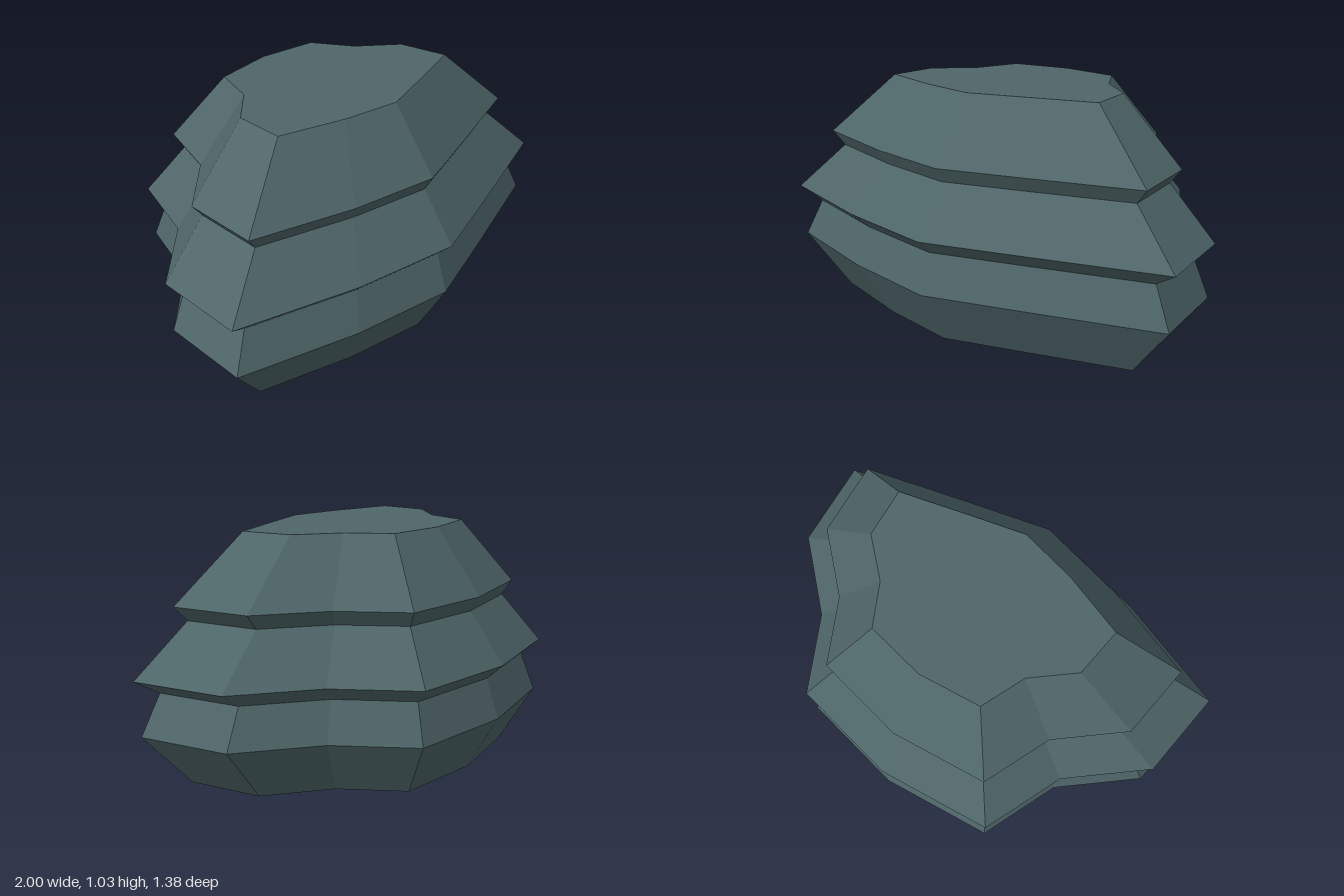
import * as THREE from 'three';

// Irregular twelve-sided outline [x, z], from the front point round through +x
const OUTLINE = [
  [-0.01, 0.685], [0.43, 0.57], [1, 0.415], [0.955, 0], [0.66, -0.27], [0.48, -0.605],
  [-0.01, -0.69], [-0.515, -0.63], [-0.655, -0.27], [-0.96, 0], [-1, 0.41], [-0.48, 0.585],
];

// Each tier is a stack of scaled outlines: [height, scale]
const TIERS = {
  lowerTier: [[0, 0.785], [0.238, 0.98], [0.408, 0.9]],
  middleTier: [[0.408, 0.9], [0.472, 1], [0.687, 0.778]],
  upperTier: [[0.687, 0.778], [0.75, 0.832], [1.026, 0.54]],
};

const ring = ([y, s]) => OUTLINE.map(([x, z]) => [x * s, y, z * s]);

function facetedMesh(name, triangles, material) {
  const geometry = new THREE.BufferGeometry();
  geometry.setAttribute('position', new THREE.Float32BufferAttribute(triangles.flat(), 3));
  geometry.computeVertexNormals(); // unshared corners give flat facets
  const mesh = new THREE.Mesh(geometry, material);
  mesh.name = name;
  return mesh;
}

// Side faces between successive outlines
function tierTriangles(levels) {
  const out = [];
  for (let k = 0; k < levels.length - 1; k++) {
    const low = ring(levels[k]), high = ring(levels[k + 1]);
    for (let i = 0; i < low.length; i++) {
      const j = (i + 1) % low.length;
      out.push(low[i], low[j], high[j], low[i], high[j], high[i]);
    }
  }
  return out;
}

// Flat cap fanned from the centre
function capTriangles(level, up) {
  const points = ring(level), centre = [0, level[0], 0], out = [];
  points.forEach((a, i) => {
    const b = points[(i + 1) % points.length];
    out.push(centre, ...(up ? [a, b] : [b, a]));
  });
  return out;
}

export function createModel() {
  const model = new THREE.Group();
  model.name = 'tieredRock';
  const slate = new THREE.MeshStandardMaterial({ color: 0x4f6669 });
  slate.name = 'slate';

  for (const [name, levels] of Object.entries(TIERS)) {
    model.add(facetedMesh(name, tierTriangles(levels), slate));
  }
  model.add(facetedMesh('flatTop', capTriangles(TIERS.upperTier[2], true), slate));
  model.add(facetedMesh('underside', capTriangles(TIERS.lowerTier[0], false), slate));
  return model;
}
